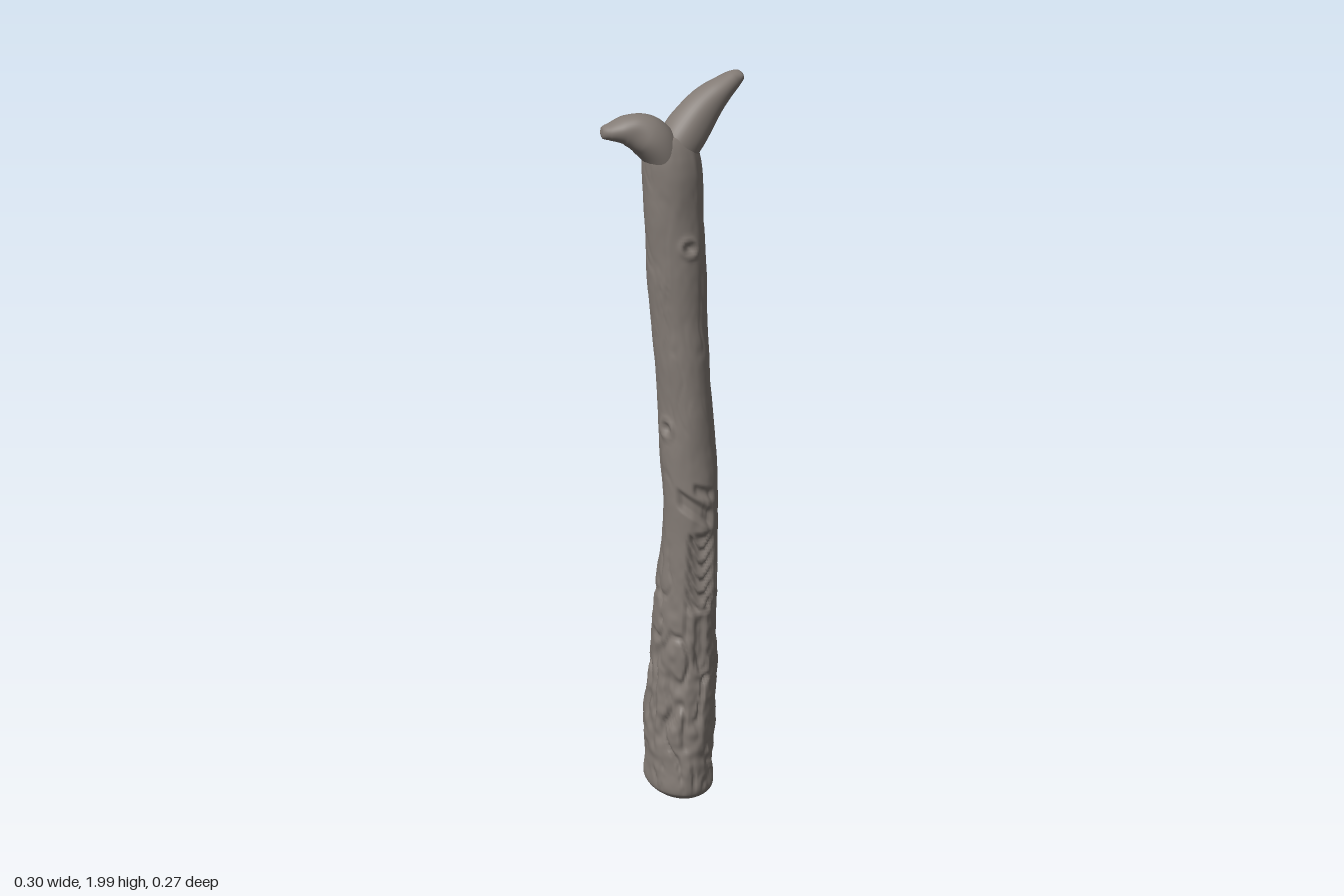
import * as THREE from 'three';

const wood = new THREE.MeshStandardMaterial({ color: 0x827a74 });
wood.name = 'weathered wood';

const V = (x, y, z) => new THREE.Vector3(x, y, z);
const smooth = THREE.MathUtils.smoothstep;
const band = (x, a, b, soft) => smooth(x, a - soft, a + soft) * (1 - smooth(x, b - soft, b + soft));

// Seeded value noise, periodic in its first argument
function hash(i, j) {
  const s = Math.sin(i * 127.1 + j * 311.7 + 5.3) * 43758.5453;
  return s - Math.floor(s);
}
function noise(u, v, period) {
  const i = Math.floor(u), j = Math.floor(v);
  const f = smooth(u - i, 0, 1), g = smooth(v - j, 0, 1);
  const h = (p, q) => hash(((p % period) + period) % period, q);
  const low = h(i, j) * (1 - f) + h(i + 1, j) * f;
  const high = h(i, j + 1) * (1 - f) + h(i + 1, j + 1) * f;
  return (low * (1 - g) + high * g) * 2 - 1;
}

// Closed skin over rings of points; point(t, angle) gives each vertex
function loft(name, point, rings, sides) {
  const position = [], index = [];
  for (let i = 0; i <= rings; i++) {
    for (let j = 0; j < sides; j++) {
      const p = point(i / rings, (j / sides) * Math.PI * 2);
      position.push(p.x, p.y, p.z);
      if (i === rings) continue;
      const a = i * sides + j, b = i * sides + ((j + 1) % sides);
      index.push(a, b, a + sides, b, b + sides, a + sides);
    }
  }
  const g = new THREE.BufferGeometry();
  g.setAttribute('position', new THREE.Float32BufferAttribute(position, 3));
  g.setIndex(index);
  g.computeVertexNormals();
  const mesh = new THREE.Mesh(g, wood);
  mesh.name = name;
  return mesh;
}

// Surface relief of the trunk: angle 0 points to the front left corner
function relief(angle, y) {
  const turn = angle / (Math.PI * 2);
  const a = angle > Math.PI ? angle - Math.PI * 2 : angle;
  // broad lumps
  let d = 0.004 * noise(turn * 6, y * 8, 6);
  // long vertical furrows, strongest near the foot
  const low = 0.15 + 0.85 * (1 - smooth(y, 0.35, 0.85));
  const foot = smooth(y, 0.02, 0.12);
  const warp = 0.7 * noise(turn * 8, y * 14, 8);
  const n = noise(turn * 20 + warp, y * 9, 20);
  d += foot * low * (0.004 * n - 0.011 * (1 - smooth(Math.abs(n), 0, 0.28)) * smooth(noise(turn * 9, y * 6 + 40, 9), -0.3, 0.3));
  d += foot * low * 0.003 * noise(turn * 36, y * 40, 36);
  // row of scalloped notches on the front left corner
  const side = band(a, -0.5, 0.45, 0.14);
  const phase = (y - 0.2 * a * a + 0.02 * a) / 0.042;
  const step = phase - Math.floor(phase);
  d -= side * band(y, 0.58, 0.79, 0.015) * (0.004 + 0.013 * smooth(step, 0, 0.75) * (1 - smooth(step, 0.8, 1)));
  // deep lip above the notches and split below them
  d -= band(a, -0.85, 0.4, 0.12) * band(y + 0.05 * a, 0.83, 0.875, 0.012) * 0.013;
  d -= band(a, -0.25, 0.5, 0.1) * band(y + 0.03 * a, 0.9, 0.925, 0.01) * 0.01;
  d -= band(a, -0.2, 0.15, 0.1) * band(y, 0.42, 0.56, 0.03) * 0.012;
  // knots: [angle, height, size]
  for (const [ka, ky, size] of [[Math.PI + 0.1, 1.31, 0.026], [0.1, 1.57, 0.02], [5.0, 1.08, 0.02], [2.6, 1.62, 0.022]]) {
    const da = Math.atan2(Math.sin(angle - ka), Math.cos(angle - ka)) * 0.07;
    const r = Math.hypot(da, y - ky) / size;
    d += 0.005 * Math.exp(-((r - 1.1) ** 2) * 6) - 0.009 * Math.exp(-r * r * 3);
  }
  return d;
}

function makeTrunk() {
  // height, centre x, centre z, radius along the long diagonal, radius across it
  const stations = [
    [0.01, 0.028, 0.02, 0, 0], [0.014, 0.028, 0.02, 0.08, 0.06], [0.04, 0.025, 0.02, 0.116, 0.088],
    [0.1, 0.025, 0.018, 0.119, 0.09], [0.25, 0.027, 0.012, 0.113, 0.088], [0.4, 0.036, 0.008, 0.105, 0.085],
    [0.6, 0.046, 0.01, 0.093, 0.08], [0.8, 0.055, 0.008, 0.08, 0.075], [0.95, 0.05, 0.006, 0.074, 0.073],
    [1.2, 0.033, 0.006, 0.069, 0.068], [1.4, 0.02, 0.005, 0.073, 0.075], [1.6, 0.012, 0.01, 0.07, 0.073],
    [1.8, 0.003, 0.016, 0.066, 0.073], [1.85, 0, 0.018, 0.05, 0.06], [1.87, 0, 0.018, 0, 0],
  ];
  const centre = new THREE.CatmullRomCurve3(stations.map(([y, x, z]) => V(x, y, z)));
  const radius = new THREE.CatmullRomCurve3(stations.map(([y, , , u, v]) => V(u, y, v)));
  const long = V(1, 0, 1).normalize(), across = V(1, 0, -1).normalize();
  return loft('trunk', (t, angle) => {
    const c = centre.getPoint(t), r = radius.getPoint(t);
    const end = Math.min(1, Math.abs(r.x) / 0.05);
    const d = relief(angle, c.y) * end;
    return c.addScaledVector(long, Math.cos(angle) * (r.x + d))
      .addScaledVector(across, Math.sin(angle) * (r.z + d));
  }, 14 * 26, 96);
}

// Fork arm: stations are x, y, z, radius sideways, radius up
function makeArm(name, stations) {
  const path = new THREE.CatmullRomCurve3(stations.map(([x, y, z]) => V(x, y, z)));
  const radius = new THREE.CatmullRomCurve3(stations.map(([, , , s, u], i) => V(s, u, i * 0.05)));
  const first = path.getPoint(0), last = path.getPoint(1);
  const sideways = V(last.z - first.z, 0, first.x - last.x).normalize();
  return loft(name, (t, angle) => {
    const p = path.getPoint(t), r = radius.getPoint(t);
    const up = path.getTangent(t).cross(sideways).normalize();
    const k = 1 + 0.07 * noise((angle / (Math.PI * 2)) * 6, t * 7, 6);
    return p.addScaledVector(sideways, Math.cos(angle) * r.x * k)
      .addScaledVector(up, Math.sin(angle) * r.y * k);
  }, 60, 40);
}

export function createModel() {
  const model = new THREE.Group();
  model.name = 'forkedPost';
  model.add(makeTrunk());
  model.add(makeArm('tallForkArm', [
    [0, 1.72, 0.015, 0.045, 0.045], [0.018, 1.82, 0.005, 0.058, 0.055], [0.05, 1.885, -0.03, 0.05, 0.05],
    [0.088, 1.942, -0.074, 0.041, 0.036], [0.122, 1.974, -0.108, 0.028, 0.023], [0.138, 1.984, -0.122, 0.018, 0.014],
    [0.143, 1.987, -0.126, 0, 0],
  ]));
  model.add(makeArm('shortForkArm', [
    [0, 1.72, 0.02, 0.045, 0.045], [-0.014, 1.8, 0.028, 0.064, 0.052], [-0.048, 1.855, 0.058, 0.057, 0.052],
    [-0.09, 1.872, 0.087, 0.043, 0.038], [-0.125, 1.868, 0.108, 0.028, 0.022], [-0.143, 1.866, 0.114, 0.018, 0.015],
    [-0.148, 1.866, 0.116, 0, 0],
  ]));
  return model;
}
